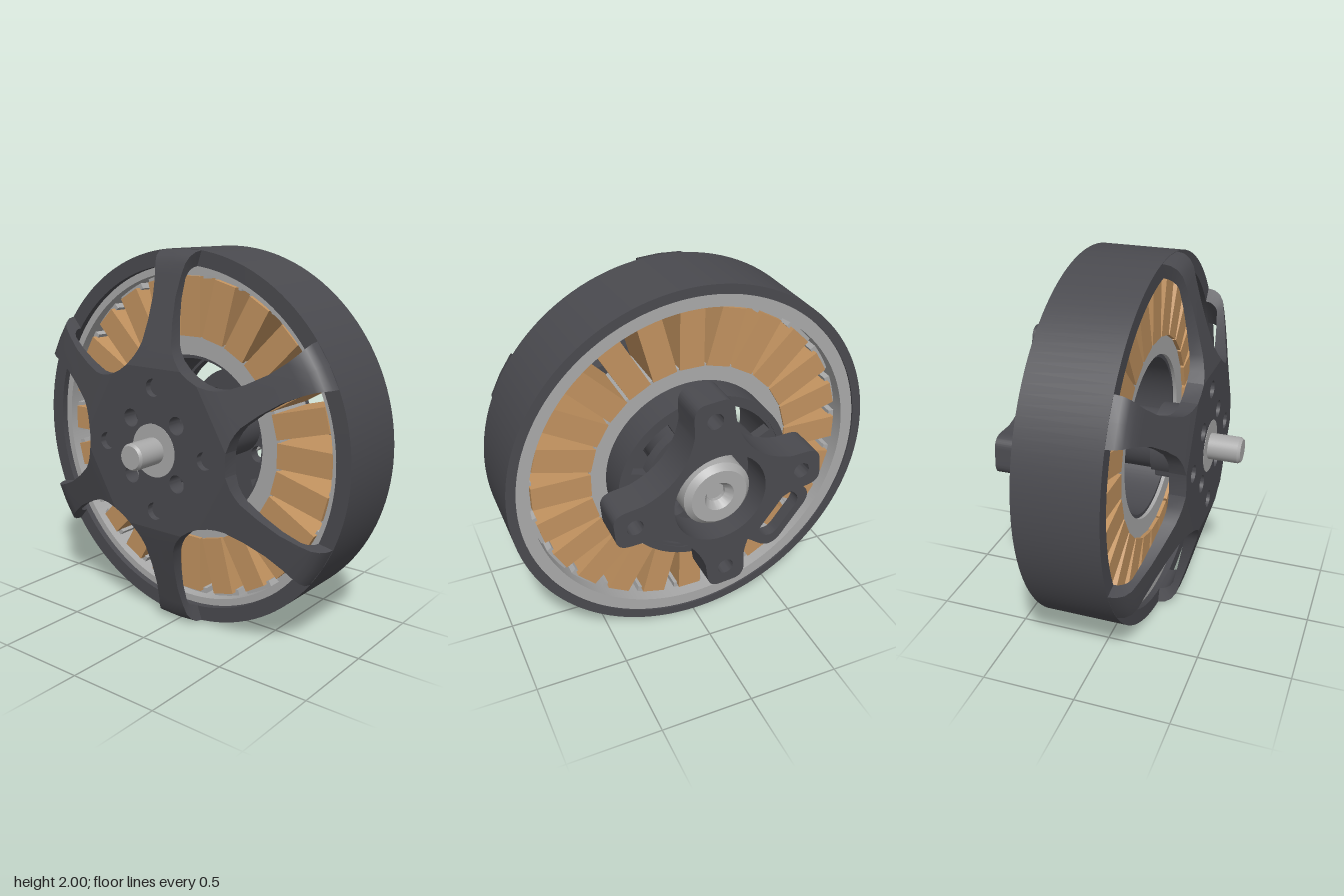
import * as THREE from 'three';
import { toCreasedNormals } from 'three/addons/utils/BufferGeometryUtils.js';

const mat = (name, color) => Object.assign(new THREE.MeshStandardMaterial({ color }), { name });

export function createModel() {
  const dark = mat('anodised dark grey', 0x4a4a4f);
  const steel = mat('steel grey', 0xa9a9a9);
  const copper = mat('copper', 0xc1925f);

  const root = new THREE.Group();
  root.name = 'outrunnerMotor';
  const motor = new THREE.Group();
  motor.name = 'motor';
  motor.position.y = 1;
  root.add(motor);

  const add = (name, geo, material, parent = motor) => {
    const m = new THREE.Mesh(geo, material);
    m.name = name;
    parent.add(m);
    return m;
  };
  // Closed (r, z) profile, counterclockwise, spun about the z axis
  const spin = (pts, segs = 96) => {
    const v = [...pts, pts[0]].map(([r, z]) => new THREE.Vector2(r, z));
    return toCreasedNormals(new THREE.LatheGeometry(v, segs).rotateX(Math.PI / 2), 0.5);
  };
  const tube = (ri, ro, z0, z1, segs) => spin([[ri, z0], [ro, z0], [ro, z1], [ri, z1]], segs);
  const slab = (shape, z0, z1) => {
    const g = new THREE.ExtrudeGeometry(shape, { depth: z1 - z0, bevelEnabled: false, curveSegments: 20 });
    return toCreasedNormals(g.translate(0, 0, z0), 0.5);
  };
  const hole = (shape, r, angle, radius) => shape.holes.push(
    new THREE.Path().absarc(r * Math.cos(angle), r * Math.sin(angle), radius, 0, Math.PI * 2, true));
  const quarter = (k) => k * Math.PI / 2;
  const VENT_R = 0.213, VENT = 0.047;

  // Rotor bell rim and magnet ring
  add('rotorRim', spin([[0.95, -0.275], [1, -0.275], [1, 0.16], [0.92, 0.16], [0.92, 0.12], [0.95, 0.12]], 128), dark);
  add('magnetRing', tube(0.882, 0.951, -0.265, 0.125, 128), steel);

  // Front plate: flat outline that the spokes grow out of, with vent and screw holes
  const outline = [];
  for (let k = 0; k < 6; k++) {
    const a = k * Math.PI / 3;
    for (const [x, y] of [[0.225, 0.39], [0.1755, 0.424], [-0.1755, 0.424]])
      outline.push(new THREE.Vector2(x, y).rotateAround(new THREE.Vector2(), a));
  }
  const plate = new THREE.Shape(outline);
  for (let k = 0; k < 4; k++) {
    hole(plate, VENT_R, quarter(k + 0.5), VENT);
    hole(plate, 0.325, quarter(k), 0.046);
  }
  hole(plate, 0, 0, 0.13);
  add('frontPlate', slab(plate, 0.312, 0.4), dark);
  for (let k = 0; k < 4; k++) {
    const s = add('plateScrew', new THREE.CylinderGeometry(0.046, 0.046, 0.05, 20).rotateX(Math.PI / 2), dark);
    s.position.set(0.325 * Math.cos(quarter(k)), 0.325 * Math.sin(quarter(k)), 0.34);
  }

  // Spokes: outer half width, radius and z, then inner half width, radius and z
  const sections = [
    [0.1755, 0.424, 0.4, 0.1755, 0.424, 0.312], [0.134, 0.47, 0.389, 0.134, 0.467, 0.312],
    [0.112, 0.505, 0.379, 0.112, 0.502, 0.307], [0.095, 0.545, 0.368, 0.095, 0.542, 0.3],
    [0.079, 0.65, 0.338, 0.079, 0.645, 0.28], [0.073, 0.77, 0.305, 0.073, 0.76, 0.258],
    [0.084, 0.875, 0.275, 0.082, 0.865, 0.237], [0.096, 0.935, 0.257, 0.087, 0.89, 0.223],
    [0.108, 0.97, 0.234, 0.09, 0.905, 0.205], [0.118, 0.992, 0.2, 0.093, 0.915, 0.185],
    [0.122, 1, 0.155, 0.095, 0.92, 0.155],
  ];
  const pos = [], idx = [];
  sections.forEach(([wo, ro, zo, wi, ri, zi], i) => {
    const onRim = (r, x) => (r > 0.86 ? Math.sqrt(r * r - x * x) : r);
    for (const x of [-wo, 0, wo]) pos.push(x, onRim(ro, x), zo);
    for (const x of [wi, 0, -wi]) pos.push(x, onRim(ri, x), zi);
    if (i === sections.length - 1) return;
    for (let j = 0; j < 6; j++) {
      const a = i * 6 + j, b = i * 6 + (j + 1) % 6;
      idx.push(a, b, b + 6, a, b + 6, a + 6);
    }
  });
  let spoke = new THREE.BufferGeometry();
  spoke.setAttribute('position', new THREE.Float32BufferAttribute(pos, 3));
  spoke.setIndex(idx);
  spoke = toCreasedNormals(spoke, 0.6);
  for (let k = 0; k < 6; k++) add('spoke', spoke, dark).rotation.z = k * Math.PI / 3;

  // Shaft, front collar and bearings
  add('shaft', spin([[0, -0.5], [0.07, -0.5], [0.07, 0.56], [0.06, 0.575], [0, 0.575]], 32), steel);
  add('frontCollar', tube(0.06, 0.14, 0.28, 0.402, 40), steel);
  add('bearingTube', tube(0.1, 0.162, -0.4, 0.32, 40), dark);
  add('rearBearing', spin([[0.05, -0.52], [0.08, -0.56], [0.15, -0.56], [0.18, -0.53], [0.18, -0.37], [0.05, -0.37]], 40), steel);

  // Hub behind the plate, scalloped where the vent holes pass
  const hubPoints = [];
  for (let k = 0; k < 120; k++) {
    const a = k * Math.PI / 60;
    const d = a % (Math.PI / 2) - Math.PI / 4;
    const q = VENT ** 2 - (VENT_R * Math.sin(d)) ** 2;
    const r = q > 0 ? Math.min(0.2, VENT_R * Math.cos(d) - Math.sqrt(q)) : 0.2;
    hubPoints.push(new THREE.Vector2(r * Math.cos(a), r * Math.sin(a)));
  }
  const hub = new THREE.Shape(hubPoints);
  hole(hub, 0, 0, 0.13);
  add('hub', slab(hub, 0.13, 0.313), dark);

  // Stator: core ring, wound coils and tooth tips
  add('statorCore', tube(0.45, 0.56, -0.21, 0.08), steel);
  const coil = new THREE.BoxGeometry(0.31, 0.13, 0.32).translate(0.705, 0, -0.06);
  const tip = new THREE.BoxGeometry(0.042, 0.17, 0.26).translate(0.868, 0, -0.06);
  for (let k = 0; k < 24; k++) {
    const tooth = new THREE.Group();
    tooth.name = 'statorTooth';
    tooth.rotation.z = k * Math.PI / 12;
    motor.add(tooth);
    add('coil', coil, copper, tooth);
    add('toothTip', tip, steel, tooth);
  }

  // Base cup with floor, vent holes and curved windows
  add('baseWall', tube(0.43, 0.468, -0.385, 0.06), dark);
  const floor = new THREE.Shape().absarc(0, 0, 0.45, 0, Math.PI * 2, false);
  hole(floor, 0, 0, 0.12);
  for (let k = 0; k < 4; k++) {
    hole(floor, VENT_R, quarter(k + 0.5), VENT);
    const a = quarter(k + 0.5) - 0.09;
    const win = new THREE.Path();
    win.absarc(0, 0, 0.415, a - 0.38, a + 0.38, false);
    win.absarc(0, 0, 0.325, a + 0.38, a - 0.38, true);
    win.closePath();
    floor.holes.push(win);
  }
  add('baseFloor', slab(floor, -0.38, -0.32), dark);

  // Four-armed mount, turned slightly about the axis
  const mount = new THREE.Group();
  mount.name = 'mount';
  mount.rotation.z = -0.09;
  motor.add(mount);
  const cross = new THREE.Shape();
  for (let k = 0; k < 4; k++) {
    const c = Math.cos(quarter(k)), s = Math.sin(quarter(k));
    const p = (u, v) => [u * c - v * s, u * s + v * c];
    if (k === 0) cross.moveTo(...p(0.4, -0.11));
    cross.lineTo(...p(0.49, -0.105));
    cross.quadraticCurveTo(...p(0.56, -0.1), ...p(0.56, -0.04));
    cross.lineTo(...p(0.56, 0.04));
    cross.quadraticCurveTo(...p(0.56, 0.1), ...p(0.49, 0.105));
    cross.lineTo(...p(0.4, 0.11));
    cross.quadraticCurveTo(...p(0.17, 0.17), ...p(0.11, 0.4));
  }
  hole(cross, 0, 0, 0.25);
  for (let k = 0; k < 4; k++) hole(cross, 0.455, quarter(k), 0.043);
  add('mountArms', slab(cross, -0.575, -0.384), dark, mount);
  for (let k = 0; k < 4; k++) {
    const boss = add('armBoss', new THREE.CylinderGeometry(0.045, 0.045, 0.1, 20).rotateX(Math.PI / 2), dark, mount);
    boss.position.set(0.43 * Math.cos(quarter(k)), 0.43 * Math.sin(quarter(k)), -0.36);
  }

  // Wire guide loop on the base edge
  const loop = (u0, u1, w, r, path) => {
    path.moveTo(u0, -w);
    path.lineTo(u1 - r, -w);
    path.quadraticCurveTo(u1, -w, u1, -w + r);
    path.lineTo(u1, w - r);
    path.quadraticCurveTo(u1, w, u1 - r, w);
    path.lineTo(u0, w);
    path.closePath();
    return path;
  };
  const guide = loop(0.4, 0.625, 0.2, 0.1, new THREE.Shape());
  guide.holes.push(loop(0.47, 0.58, 0.145, 0.07, new THREE.Path()));
  add('wireGuide', slab(guide, -0.45, -0.38), dark).rotation.z = 217 * Math.PI / 180;

  return root;
}
